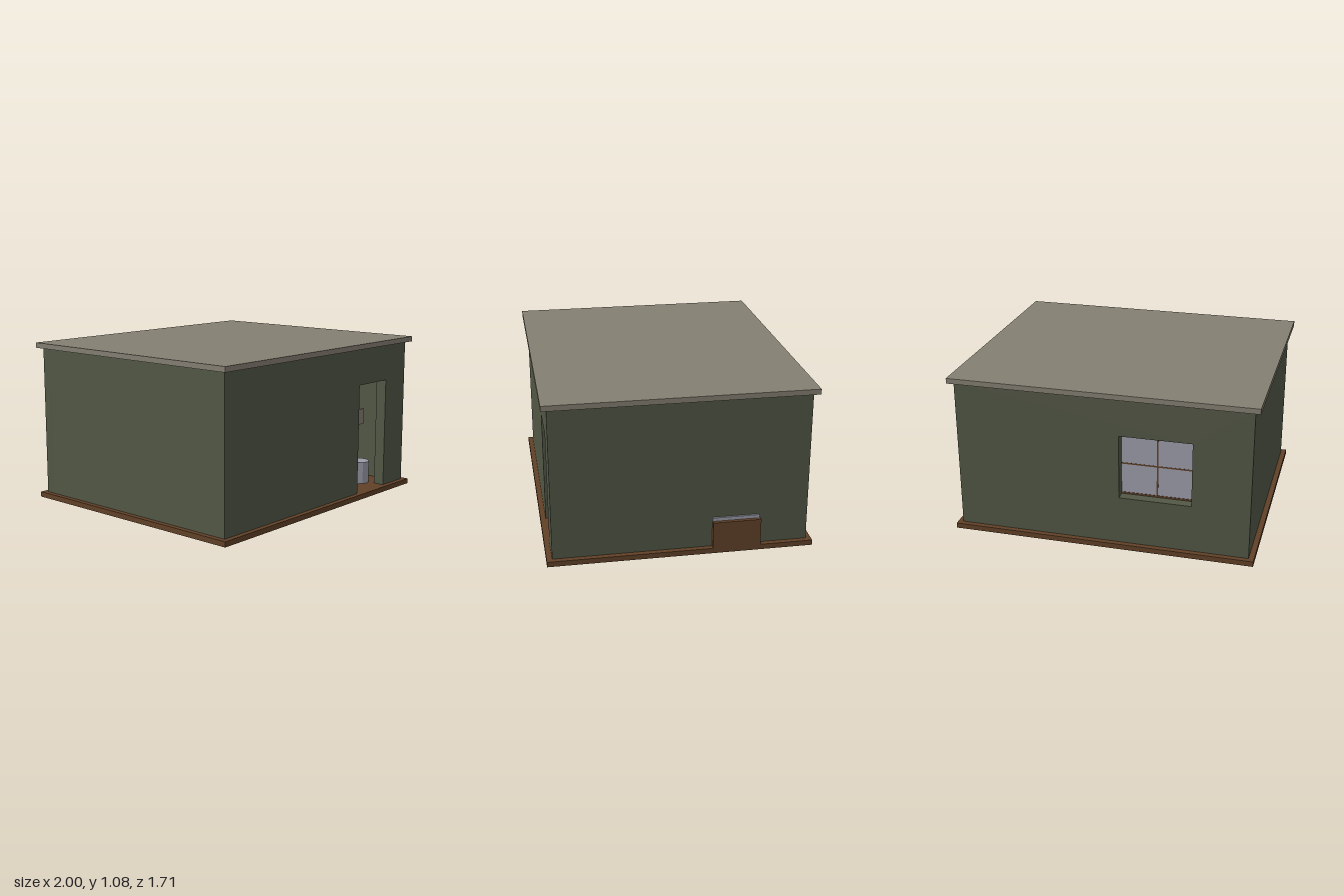
import * as THREE from 'three';

const mat = (name, color) => {
  const m = new THREE.MeshStandardMaterial({ color });
  m.name = name;
  return m;
};

export function createModel() {
  const wallGreen = mat('wall green', 0x525745);
  const roofStone = mat('roof stone', 0x857f72);
  const wood = mat('wood brown', 0x614128);
  const paleGrey = mat('pale lavender grey', 0x9c9caa);
  const panelGrey = mat('door panel grey', 0x8a837c);

  const model = new THREE.Group();
  model.name = 'cabin';

  const add = (parent, name, geometry, material, x = 0, y = 0, z = 0) => {
    const mesh = new THREE.Mesh(geometry, material);
    mesh.name = name;
    mesh.position.set(x, y, z);
    parent.add(mesh);
    return mesh;
  };
  // Box given by its minimum and maximum corners
  const box = (parent, name, material, [x0, y0, z0], [x1, y1, z1]) =>
    add(parent, name, new THREE.BoxGeometry(x1 - x0, y1 - y0, z1 - z0), material,
      (x0 + x1) / 2, (y0 + y1) / 2, (z0 + z1) / 2);

  const floorY = 0.035, wallTop = 1.04, wallX = 0.965, wallZ = 0.82, thick = 0.075;

  // Floor slab and flat roof
  box(model, 'floor', wood, [-1, 0, -0.855], [1, floorY, 0.855]);
  box(model, 'roof', roofStone, [-1, wallTop, -0.855], [1, 1.075, 0.855]);

  // Front wall, notched for the doorway
  const door = { x0: 0.41, x1: 0.73, top: 0.79 };
  const frontShape = new THREE.Shape([
    [-wallX, floorY], [door.x0, floorY], [door.x0, door.top], [door.x1, door.top],
    [door.x1, floorY], [wallX, floorY], [wallX, wallTop], [-wallX, wallTop],
  ].map(([x, y]) => new THREE.Vector2(x, y)));
  const extrude = { depth: thick, bevelEnabled: false };
  add(model, 'frontWall', new THREE.ExtrudeGeometry(frontShape, extrude), wallGreen, 0, 0, wallZ - thick);

  // Back wall with the window hole
  const win = { x0: -0.59, x1: -0.12, y0: 0.355, y1: 0.785 };
  const rect = (S, x0, y0, x1, y1) => new S([[x0, y0], [x1, y0], [x1, y1], [x0, y1]]
    .map(([x, y]) => new THREE.Vector2(x, y)));
  const backShape = rect(THREE.Shape, -wallX, floorY, wallX, wallTop);
  backShape.holes.push(rect(THREE.Path, win.x0, win.y0, win.x1, win.y1));
  add(model, 'backWall', new THREE.ExtrudeGeometry(backShape, extrude), wallGreen, 0, 0, -wallZ);

  // Side walls
  for (const s of [-1, 1]) {
    add(model, s > 0 ? 'leftWall' : 'rightWall',
      new THREE.BoxGeometry(thick, wallTop - floorY, 2 * (wallZ - thick)), wallGreen,
      s * (wallX - thick / 2), (wallTop + floorY) / 2, 0);
  }

  // Window pane with thin glazing bars
  const paneZ = -wallZ + thick;
  const cx = (win.x0 + win.x1) / 2, cy = (win.y0 + win.y1) / 2;
  box(model, 'windowPane', paleGrey, [win.x0, win.y0, paneZ - 0.005], [win.x1, win.y1, paneZ + 0.005]);
  box(model, 'windowBarUpright', wood, [cx - 0.005, win.y0, paneZ - 0.006], [cx + 0.005, win.y1, paneZ + 0.006]);
  box(model, 'windowBarCross', wood, [win.x0, cy - 0.005, paneZ - 0.006], [win.x1, cy + 0.005, paneZ + 0.006]);
  box(model, 'windowSill', wood, [win.x0, win.y0, paneZ - 0.008], [win.x1, win.y0 + 0.012, paneZ + 0.01]);

  // Door standing ajar, hinged on the inner face of the wall
  const leaf = new THREE.Group();
  leaf.name = 'door';
  leaf.position.set(door.x0, 0, wallZ - thick);
  leaf.rotation.y = THREE.MathUtils.degToRad(27);
  model.add(leaf);
  box(leaf, 'doorLeaf', wood, [0, floorY, -0.025], [0.32, door.top - 0.002, 0]);
  for (const [y0, y1] of [[0.125, 0.365], [0.455, 0.67]]) {
    box(leaf, 'doorPanel', panelGrey, [0.034, y0, -0.027], [0.286, y1, 0.002]);
  }

  // Twelve-sided bin behind the door
  const bin = new THREE.CylinderGeometry(0.075, 0.075, 0.155, 12).toNonIndexed();
  bin.computeVertexNormals();
  add(model, 'bin', bin, paleGrey, 0.695, floorY + 0.0775, 0.63);

  // Small plaque hanging inside the doorway
  box(model, 'hangingPlaque', roofStone, [0.68, 0.445, 0.6], [0.78, 0.555, 0.61]);
  box(model, 'plaqueHook', wood, [0.708, 0.555, 0.6], [0.712, 0.58, 0.605]);

  // Cabinet with a pale top, pushed through the side wall
  box(model, 'cabinet', wood, [0.67, floorY, -0.51], [1, 0.215, -0.2]);
  box(model, 'cabinetTop', paleGrey, [0.7, 0.215, -0.505], [0.977, 0.238, -0.2]);

  return model;
}
